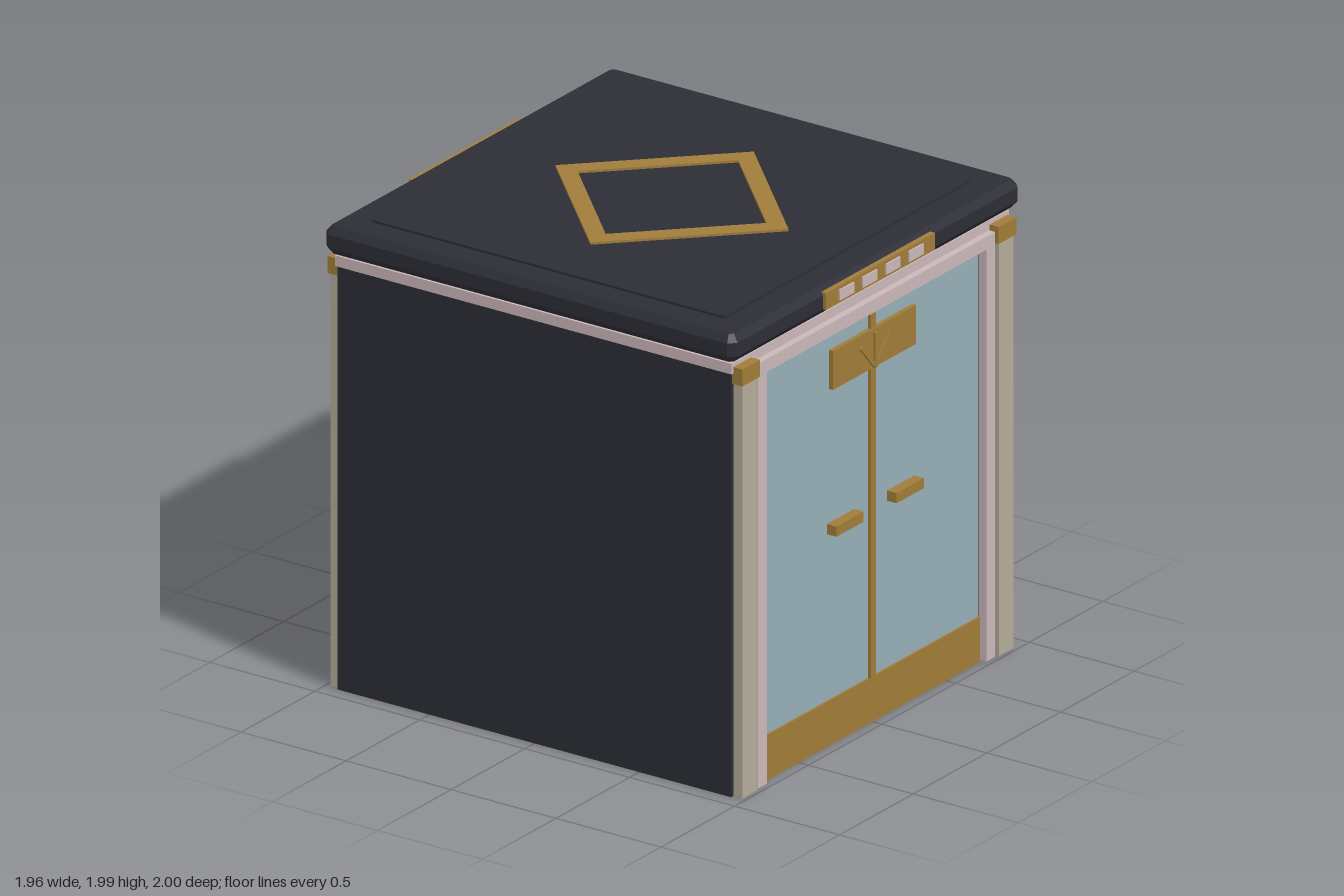
import * as THREE from 'three';

const material = (name, color) => {
  const m = new THREE.MeshStandardMaterial({ color });
  m.name = name;
  return m;
};

export function createModel() {
  const dark = material('charcoal', 0x2d2d36);
  const gold = material('brass', 0xa07d3a);
  const teal = material('pale teal', 0x95aeb6);
  const pink = material('pale pink', 0xcab7b9);
  const beige = material('warm stone', 0xb4ab9a);

  const add = (parent, name, geometry, mat) => {
    const mesh = new THREE.Mesh(geometry, mat);
    mesh.name = name;
    parent.add(mesh);
    return mesh;
  };
  // Box given by its minimum and maximum corners
  const box = (parent, name, mat, x0, x1, y0, y1, z0, z1) => {
    const mesh = add(parent, name, new THREE.BoxGeometry(x1 - x0, y1 - y0, z1 - z0), mat);
    mesh.position.set((x0 + x1) / 2, (y0 + y1) / 2, (z0 + z1) / 2);
    return mesh;
  };

  const model = new THREE.Group();
  model.name = 'cabin';

  // Body, frieze and neck under the roof
  box(model, 'body', dark, -0.935, 0.935, 0, 1.8, -0.938, 0.938);
  box(model, 'frieze', pink, -0.943, 0.943, 1.795, 1.84, -0.945, 0.945);
  box(model, 'neck', dark, -0.93, 0.93, 1.84, 1.86, -0.93, 0.93);

  // Roof slab with chamfered edges and clipped corners
  const h = 0.955, c = 0.015;
  const outline = new THREE.Shape([
    [h, -h + c], [h, h - c], [h - c, h], [-h + c, h],
    [-h, h - c], [-h, -h + c], [-h + c, -h], [h - c, -h],
  ].map(([x, y]) => new THREE.Vector2(x, y)));
  const slab = new THREE.ExtrudeGeometry(outline, {
    depth: 0.058, bevelThickness: 0.03, bevelSize: 0.025, bevelSegments: 1,
  });
  slab.rotateX(-Math.PI / 2);
  add(model, 'roof', slab, dark).position.y = 1.882;
  box(model, 'roofPanel', dark, -0.84, 0.84, 1.965, 1.98, -0.84, 0.84);

  // Diamond inlay on the roof
  const diamond = (r) => [[r, 0], [0, r], [-r, 0], [0, -r]].map(([x, y]) => new THREE.Vector2(x, y));
  const ring = new THREE.Shape(diamond(0.555));
  ring.holes.push(new THREE.Path(diamond(0.45)));
  const inlay = new THREE.ExtrudeGeometry(ring, { depth: 0.015, bevelEnabled: false });
  inlay.rotateX(-Math.PI / 2);
  add(model, 'roofDiamond', inlay, gold).position.y = 1.975;

  // Identical entrances on the front and back
  for (const [name, turn] of [['frontEntrance', 0], ['backEntrance', Math.PI]]) {
    const side = new THREE.Group();
    side.name = name;
    side.rotation.y = turn;
    model.add(side);

    // Double doors with kick plate and centre strip
    box(side, 'doors', teal, -0.73, 0.73, 0.19, 1.73, 0.93, 0.946);
    box(side, 'kickPlate', gold, -0.73, 0.73, 0, 0.19, 0.93, 0.955);
    box(side, 'centreStrip', gold, -0.018, 0.018, 0.19, 1.73, 0.94, 0.96);

    // Plaque with three fanned bars
    box(side, 'plaque', gold, -0.283, 0.283, 1.505, 1.67, 0.94, 0.965);
    box(side, 'plaqueBar', gold, -0.008, 0.008, 1.505, 1.655, 0.96, 0.975);
    for (const s of [-1, 1]) {
      const bar = box(side, 'plaqueBar', gold, -0.008, 0.008, 1.492, 1.638, 0.96, 0.974);
      bar.position.x = s * 0.05;
      bar.rotation.z = -s * 0.72;
    }

    // Door surround
    box(side, 'lintel', pink, -0.805, 0.805, 1.745, 1.8, 0.93, 0.975);
    for (const s of [-1, 1]) {
      const pair = (part, mat, x0, x1, y0, y1, z1) =>
        box(side, part, mat, Math.min(s * x0, s * x1), Math.max(s * x0, s * x1), y0, y1, 0.93, z1);
      pair('doorJamb', pink, 0.745, 0.805, 0, 1.745, 0.975);
      pair('pilaster', beige, 0.82, 0.92, 0, 1.75, 0.982);
      pair('pilasterCap', gold, 0.81, 0.93, 1.75, 1.822, 0.988);
      pair('handle', gold, 0.112, 0.297, 0.895, 0.938, 0.992);
    }

    // Sign on the roof edge with four light windows
    box(side, 'sign', gold, -0.37, 0.37, 1.88, 1.952, 0.96, 0.993);
    for (const x of [-0.236, -0.079, 0.079, 0.236]) {
      box(side, 'signWindow', pink, x - 0.049, x + 0.049, 1.893, 1.937, 0.992, 1.0);
    }
  }
  return model;
}
